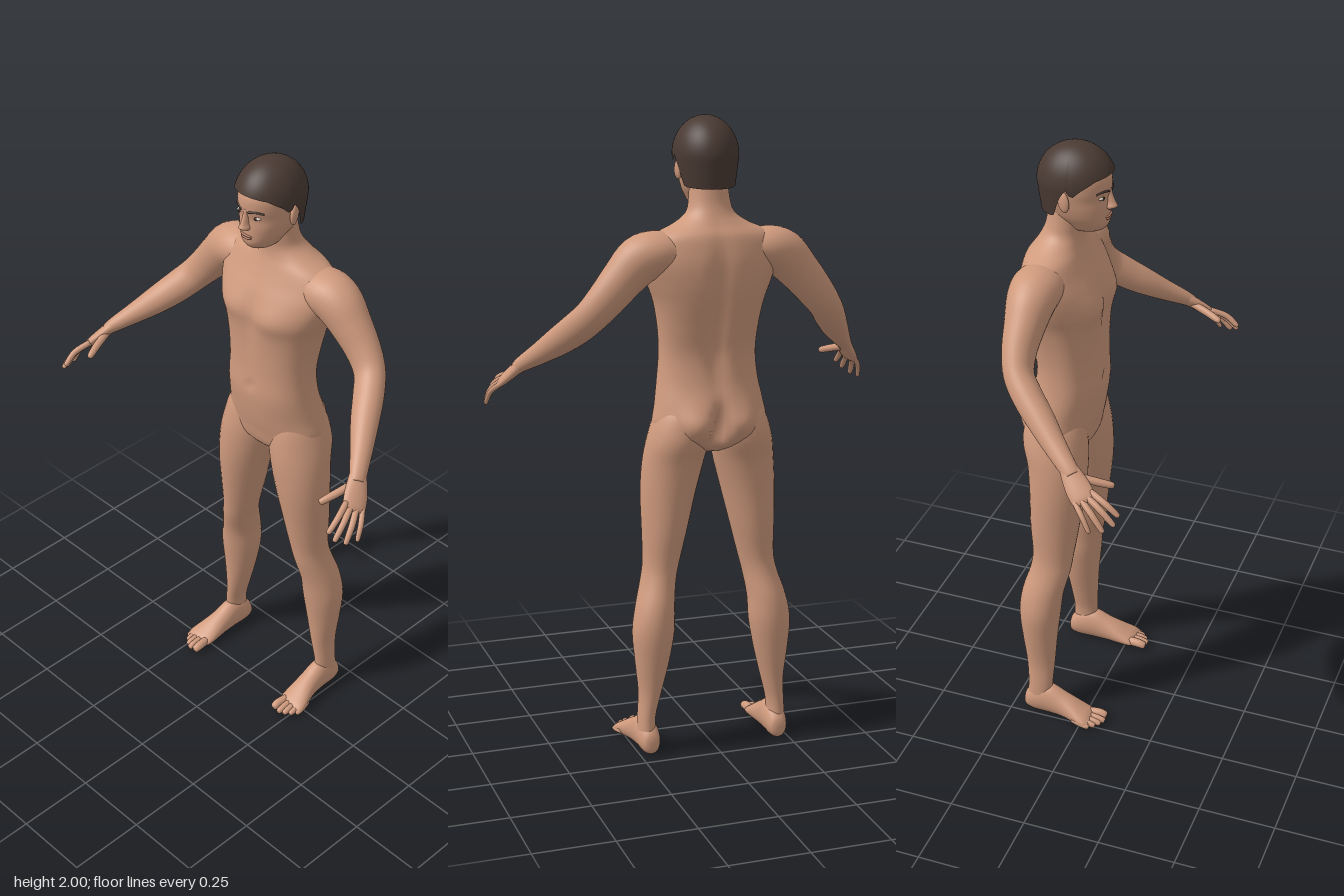
import * as THREE from 'three';

const V = (x, y, z) => new THREE.Vector3(x, y, z);
const X = V(1, 0, 0), Y = V(0, 1, 0), Z = V(0, 0, 1);
const bell = (d, w) => Math.exp(-(d * d) / (w * w));
const mat = (name, color) => Object.assign(new THREE.MeshStandardMaterial({ color }), { name });

// Smooth interpolation through rows of numbers
function resample(rows, steps) {
  const out = [], last = rows.length - 1;
  const row = i => rows[Math.min(last, Math.max(0, i))];
  for (let k = 0; k <= last * steps; k++) {
    const i = Math.min(last - 1, Math.floor(k / steps)), t = k / steps - i;
    out.push(row(i).map((b, c) => {
      const a = row(i - 1)[c], d = row(i + 1)[c], e = row(i + 2)[c];
      return b + 0.5 * t * (d - a + t * (2 * a - 5 * b + 4 * d - e + t * (3 * (b - d) + e - a)));
    }));
  }
  return out;
}

// Skin over rounded sections [x, y, z, radius along ref, radius across, squareness]
function loft(stations, { ref = Z, axis = null, seg = 32, steps = 4, warp = null } = {}) {
  const rows = resample(stations.map(s => (s.length < 6 ? [...s, 2] : s)), steps);
  const pos = [], idx = [], n = rows.length;
  const centre = i => V(...rows[Math.min(n - 1, Math.max(0, i))].slice(0, 3));
  const put = p => { if (warp) warp(p); pos.push(p.x, p.y, p.z); };
  const bend = (c, e) => Math.sign(c) * Math.pow(Math.abs(c), 2 / e);
  rows.forEach((r, i) => {
    const t = axis ? axis.clone() : centre(i + 1).sub(centre(i - 1)).normalize();
    const u = ref.clone().addScaledVector(t, -ref.dot(t)).normalize();
    const v = t.clone().cross(u);
    for (let j = 0; j < seg; j++) {
      const a = (j / seg) * Math.PI * 2;
      put(centre(i)
        .addScaledVector(u, Math.max(0.0008, r[3]) * bend(Math.cos(a), r[5]))
        .addScaledVector(v, Math.max(0.0008, r[4]) * bend(Math.sin(a), r[5])));
    }
  });
  put(centre(0));
  put(centre(n - 1));
  for (let j = 0; j < seg; j++) {
    const k = (j + 1) % seg;
    for (let i = 0; i < n - 1; i++) {
      const a = i * seg + j, b = i * seg + k;
      idx.push(a, b, b + seg, a, b + seg, a + seg);
    }
    idx.push(n * seg, k, j, n * seg + 1, (n - 1) * seg + j, (n - 1) * seg + k);
  }
  const g = new THREE.BufferGeometry();
  g.setAttribute('position', new THREE.Float32BufferAttribute(pos, 3));
  g.setIndex(idx);
  g.computeVertexNormals();
  return g;
}

// Horizontal sections given as [y, front z, back z, half width, squareness]
const upright = rows => rows.map(([y, f, b, w, e = 2]) => [0, y, (f + b) / 2, (f - b) / 2, w, e]);

// Rounded digit from base through middle to tip
function digit(base, mid, tip, r, ref) {
  const end = tip.clone().lerp(mid, 0.12);
  const at = (p, k) => [p.x, p.y, p.z, r * k, r * k];
  return loft([at(base, 1), at(mid, 1), at(end, 0.8), at(tip, 0.1)], { ref, seg: 12 });
}

function ball(x, y, z, rx, ry, rz) {
  return new THREE.SphereGeometry(1, 20, 14).scale(rx, ry, rz).translate(x, y, z);
}

function mirrored(geometry) {
  const g = geometry.clone().scale(-1, 1, 1), a = g.index.array;
  for (let i = 0; i < a.length; i += 3) [a[i], a[i + 1]] = [a[i + 1], a[i]];
  g.computeVertexNormals();
  return g;
}

export function createModel() {
  const model = new THREE.Group();
  model.name = 'standingMan';
  const skin = mat('skin', 0xcf9a7d), hair = mat('darkHair', 0x4a3a33);
  const lip = mat('lips', 0xb47a64), white = mat('eyeWhite', 0xd8cbc0), dark = mat('iris', 0x35261f);
  hair.side = THREE.DoubleSide;
  const add = (name, geometry, material = skin) => {
    const m = new THREE.Mesh(geometry, material);
    m.name = name;
    model.add(m);
  };
  const pair = (name, geometry, material) => {
    add(name + 'Left', geometry, material);
    add(name + 'Right', mirrored(geometry), material);
  };

  // Torso and neck, with chest, navel, spine and buttock shaping
  add('torso', loft(upright([
    [0.97, -0.07, -0.17, 0.05], [1.0, -0.035, -0.215, 0.165], [1.06, -0.02, -0.236, 0.185],
    [1.12, -0.008, -0.238, 0.175], [1.2, 0, -0.216, 0.16, 2.2], [1.28, -0.004, -0.208, 0.153, 2.3],
    [1.36, -0.004, -0.222, 0.158, 2.4], [1.44, 0, -0.24, 0.173, 2.4], [1.5, 0.002, -0.25, 0.195, 2.3],
    [1.56, -0.016, -0.252, 0.213, 2.2], [1.61, -0.04, -0.246, 0.215], [1.65, -0.058, -0.235, 0.185],
    [1.68, -0.068, -0.215, 0.12], [1.71, -0.07, -0.198, 0.077], [1.75, -0.066, -0.184, 0.064],
    [1.82, -0.06, -0.175, 0.058],
  ]), {
    axis: Y, seg: 64, steps: 5, warp: p => {
      const x = Math.abs(p.x);
      if (p.z > -0.1) {
        p.z += 0.012 * bell(x - 0.09, 0.06) * bell(p.y - 1.5, 0.05);
        p.z -= 0.01 * bell(x, 0.022) * bell(p.y - 1.48, 0.1) + 0.008 * bell(x, 0.012) * bell(p.y - 1.23, 0.015);
      } else {
        p.z += 0.022 * bell(x, 0.028) * bell(p.y - 1.4, 0.2) + 0.05 * bell(x, 0.02) * bell(p.y - 1.05, 0.06);
        p.z -= 0.03 * bell(x - 0.08, 0.055) * bell(p.y - 1.06, 0.055);
      }
    },
  }));

  // Legs
  pair('leg', loft([
    [0.22, 0.05, -0.155, 0.042, 0.03], [0.218, 0.12, -0.152, 0.042, 0.028], [0.207, 0.2, -0.153, 0.048, 0.036],
    [0.2, 0.3, -0.157, 0.058, 0.054], [0.195, 0.4, -0.157, 0.068, 0.067], [0.187, 0.48, -0.149, 0.069, 0.062],
    [0.17, 0.56, -0.129, 0.067, 0.056], [0.158, 0.62, -0.122, 0.068, 0.058], [0.146, 0.72, -0.12, 0.08, 0.071],
    [0.132, 0.84, -0.115, 0.09, 0.087], [0.116, 0.94, -0.118, 0.097, 0.097], [0.102, 1.02, -0.13, 0.105, 0.097],
    [0.096, 1.1, -0.13, 0.09, 0.075], [0.088, 1.16, -0.125, 0.05, 0.04],
  ], { axis: Y }));

  // Feet with a flat sole, and toes
  pair('foot', loft([
    [0.215, 0.035, -0.208, 0.01, 0.014], [0.215, 0.04, -0.2, 0.026, 0.034], [0.216, 0.05, -0.17, 0.035, 0.052],
    [0.217, 0.055, -0.12, 0.036, 0.058], [0.219, 0.043, -0.07, 0.038, 0.046], [0.223, 0.032, -0.03, 0.044, 0.036],
    [0.227, 0.024, 0, 0.049, 0.026], [0.229, 0.019, 0.02, 0.049, 0.019], [0.229, 0.016, 0.034, 0.042, 0.01],
  ], { ref: X, axis: Z, warp: p => { p.y = Math.max(0, p.y); } }));
  [[0.197, 0.076, 0.015], [0.221, 0.078, 0.0115], [0.239, 0.069, 0.011], [0.255, 0.055, 0.0105], [0.269, 0.038, 0.01]]
    .forEach(([x, z, r], i) => pair('toe' + (i + 1),
      digit(V(x * 0.85 + 0.033, 0.02, z - 0.06), V(x, r + 0.006, z - 0.025), V(x, r, z), r, X)));

  // Arms, from inside the shoulder to the wrist
  const upOut = V(0.7, 0.7, 0);
  pair('arm', loft([
    [0.1, 1.598, -0.15, 0.05, 0.065], [0.17, 1.598, -0.15, 0.067, 0.08], [0.228, 1.578, -0.15, 0.074, 0.075],
    [0.283, 1.523, -0.15, 0.066, 0.062], [0.335, 1.463, -0.148, 0.059, 0.052], [0.379, 1.411, -0.132, 0.053, 0.046],
    [0.416, 1.366, -0.09, 0.051, 0.046], [0.455, 1.322, -0.035, 0.045, 0.043], [0.5, 1.276, 0.025, 0.034, 0.035],
    [0.54, 1.237, 0.08, 0.024, 0.028], [0.555, 1.22, 0.1, 0.019, 0.026],
  ], { ref: upOut }));

  // Hands: palm, four fingers and a thumb
  const across = V(0.53, -0.38, -0.76).normalize();
  pair('palm', loft([
    [0.532, 1.246, 0.069, 0.022, 0.02], [0.545, 1.231, 0.087, 0.028, 0.02], [0.56, 1.212, 0.107, 0.034, 0.018],
    [0.577, 1.19, 0.13, 0.038, 0.016], [0.59, 1.173, 0.148, 0.036, 0.013], [0.597, 1.164, 0.157, 0.029, 0.007],
  ], { ref: across, seg: 24 }));
  [['index', V(0.588, 1.135, 0.256)], ['middle', V(0.608, 1.113, 0.25)],
    ['ring', V(0.627, 1.097, 0.222)], ['little', V(0.638, 1.093, 0.183)]].forEach(([name, tip], i) => {
    const base = V(0.585, 1.179, 0.142).addScaledVector(across, -0.027 + i * 0.018);
    const mid = base.clone().lerp(tip, 0.52).add(V(0.007, 0.008, 0.003));
    pair(name + 'Finger', digit(base, mid, tip, i === 3 ? 0.0085 : 0.01, upOut));
  });
  pair('thumb', digit(V(0.548, 1.216, 0.105), V(0.531, 1.2, 0.165), V(0.513, 1.185, 0.215), 0.0125, upOut));

  // Head, nose and ears
  add('head', loft(upright([
    [1.722, -0.035, -0.1, 0.02], [1.735, -0.004, -0.12, 0.041], [1.755, 0.011, -0.14, 0.054, 2.1],
    [1.78, 0.013, -0.165, 0.068, 2.1], [1.81, 0.013, -0.18, 0.077, 2.1], [1.84, 0.012, -0.188, 0.082],
    [1.87, 0.018, -0.192, 0.085], [1.91, 0.015, -0.19, 0.084], [1.95, -0.012, -0.17, 0.068], [1.975, -0.055, -0.13, 0.03],
  ]), { axis: Y, seg: 40 }));
  add('nose', loft([
    [0, 1.803, 0.01, 0.012, 0.012], [0, 1.812, 0.014, 0.024, 0.017], [0, 1.825, 0.012, 0.021, 0.012],
    [0, 1.85, 0.01, 0.013, 0.009], [0, 1.872, 0.01, 0.008, 0.009],
  ], { axis: Y, seg: 20 }));
  pair('ear', ball(0, 0, 0, 0.01, 0.034, 0.02).rotateX(-0.2).rotateY(0.3).translate(0.088, 1.843, -0.1));

  // Eyes, brows and mouth
  pair('eye', ball(0.034, 1.848, 0, 0.014, 0.006, 0.008), white);
  pair('iris', ball(0.034, 1.848, 0.006, 0.0055, 0.0055, 0.004), dark);
  pair('brow', new THREE.TubeGeometry(new THREE.CatmullRomCurve3(
    [V(0.014, 1.865, 0.017), V(0.036, 1.87, 0.008), V(0.056, 1.865, -0.008)]), 12, 0.0035, 8), hair);
  add('upperLip', ball(0, 1.7815, 0.011, 0.024, 0.004, 0.007), lip);
  add('lowerLip', ball(0, 1.7735, 0.01, 0.02, 0.005, 0.007), lip);

  // Hair: a cap whose lower edge dips at the sideburns and the nape
  const edge = [[-1, 1.785], [-0.4, 1.79], [-0.15, 1.86], [0, 1.885], [0.15, 1.86], [0.35, 1.885], [0.7, 1.912], [1.01, 1.922]];
  const cap = new THREE.SphereGeometry(1, 64, 24, 0, Math.PI * 2, 0, Math.PI / 2);
  const p = cap.attributes.position;
  for (let i = 0; i < p.count; i++) {
    const x = p.getX(i), z = p.getZ(i), len = Math.hypot(x, z) || 1, f = Math.max(-1, z / len);
    const k = edge.findIndex(e => e[0] > f), [f0, y0] = edge[k - 1], [f1, y1] = edge[k];
    const low = y0 + (y1 - y0) * (f - f0) / (f1 - f0);
    const y = 2 - (2 - low) * (1 - p.getY(i));
    const r = y > 1.88 ? Math.sqrt(Math.max(0, 1 - ((y - 1.88) / 0.12) ** 2)) : 1 - (1.88 - y) * 1.2;
    p.setXYZ(i, 0.1 * r * x / len, y, -0.09 + 0.122 * r * f);
  }
  cap.computeVertexNormals();
  add('hair', cap, hair);
  return model;
}
